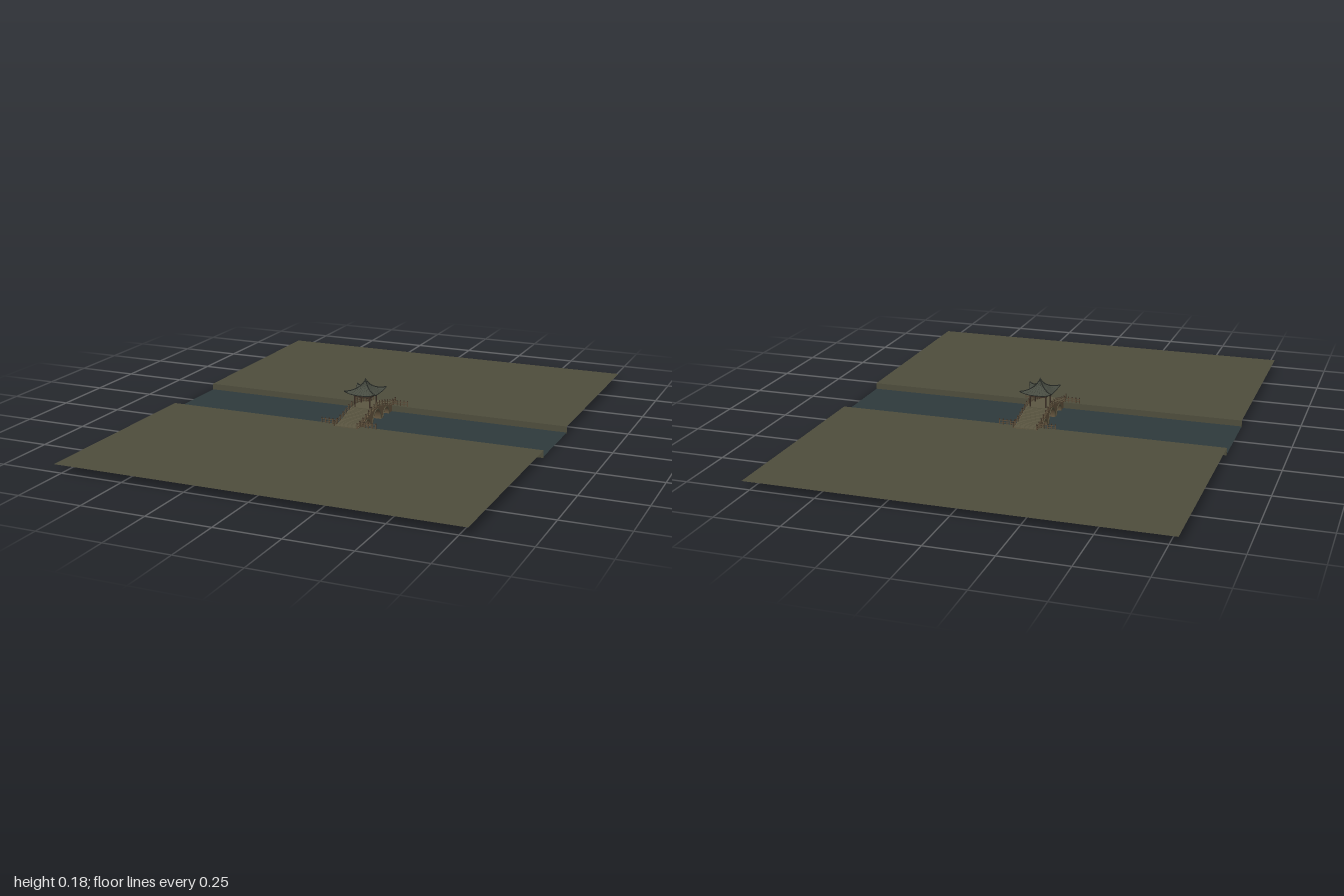
import * as THREE from 'three';

const mat = (name, color) => {
  const m = new THREE.MeshStandardMaterial({ color, side: THREE.DoubleSide });
  m.name = name;
  return m;
};

export function createModel() {
  const root = new THREE.Group();
  const earth = mat('earth', 0x4e4d3c);
  const water = mat('water', 0x2e3a3c);
  const stone = mat('bridgeStone', 0x6b5b43);
  const paving = mat('paving', 0x5c5742);
  const footing = mat('footing', 0x4a463a);
  const rail = mat('railing', 0x584a37);
  const wood = mat('darkWood', 0x3c3026);
  const tile = mat('roofTile', 0x474b41);
  const ridge = mat('roofRidge', 0x272a26);

  const add = (name, geo, m, x = 0, y = 0, z = 0, parent = root) => {
    const mesh = new THREE.Mesh(geo, m);
    mesh.name = name;
    mesh.position.set(x, y, z);
    parent.add(mesh);
    return mesh;
  };
  const box = (name, w, h, d, m, x, y, z, parent) =>
    add(name, new THREE.BoxGeometry(w, h, d), m, x, y, z, parent);
  // Straight bar between two points
  const bar = (name, a, b, r, m, parent) => {
    const dir = b.clone().sub(a);
    const mesh = add(name, new THREE.CylinderGeometry(r, r, dir.length(), 6), m, 0, 0, 0, parent);
    mesh.position.copy(a).add(b).multiplyScalar(0.5);
    mesh.quaternion.setFromUnitVectors(new THREE.Vector3(0, 1, 0), dir.normalize());
  };
  const V = (x, y, z) => new THREE.Vector3(x, y, z);

  // River, banks and bank walls
  add('river', new THREE.PlaneGeometry(1.56, 0.32).rotateX(-Math.PI / 2), water, 0, 0.005, 0);
  for (const s of [-1, 1]) {
    add('bank', new THREE.PlaneGeometry(1.56, 0.84).rotateX(-Math.PI / 2), earth, 0, 0.03, s * 0.58);
    box('bankWall', 1.56, 0.029, 0.003, earth, 0, 0.0150, s * 0.1605);
    box('abutment', 0.23, 0.028, 0.055, footing, 0, 0.0145, s * 0.188);
  }
  box('bridgeFooting', 0.23, 0.003, 0.42, footing, 0, 0.0015, 0);

  // Bridge body: humped deck over three arches
  const L = 0.195;
  const deckY = z => 0.032 + 0.033 * (0.5 + 0.5 * Math.cos(Math.PI * Math.min(1, Math.abs(z) / L)));
  const arches = [[-0.095, 0.03, 0.038], [0, 0.042, 0.053], [0.095, 0.03, 0.038]];
  const side = new THREE.Shape();
  side.moveTo(-L, 0.001);
  for (const [c, rx, ry] of arches) {
    side.lineTo(c - rx, 0.001);
    side.absellipse(c, 0.001, rx, ry, Math.PI, 0, true);
  }
  side.lineTo(L, 0.001);
  for (let i = 0; i <= 24; i++) {
    const z = L - (2 * L * i) / 24;
    side.lineTo(z, deckY(z));
  }
  const extrudeX = (shape, width) => new THREE.ExtrudeGeometry(shape, { depth: width, bevelEnabled: false, curveSegments: 16 })
    .rotateY(-Math.PI / 2).translate(width / 2, 0, 0);
  add('bridgeBody', extrudeX(side, 0.096), stone);

  // Paved walkway in shallow steps
  const steps = 40;
  for (let i = 0; i < steps; i++) {
    const d = (2 * L) / steps, z = -L + (i + 0.5) * d;
    box('deckStep', 0.09, 0.006, d, paving, 0, deckY(z) - 0.001, z);
  }

  // Stone rings around the arches
  for (const [c, rx, ry] of arches) {
    const ring = new THREE.Shape();
    ring.absellipse(c, 0.001, rx + 0.004, ry + 0.004, 0, Math.PI, false);
    ring.lineTo(c - rx, 0.001);
    ring.absellipse(c, 0.001, rx, ry, Math.PI, 0, true);
    for (const s of [-1, 1]) add('archRing', extrudeX(ring, 0.003), paving, s * 0.049);
  }

  // Bridge balustrades
  const posts = 14;
  for (const s of [-1, 1]) {
    const balustrade = new THREE.Group();
    balustrade.name = 'balustrade';
    root.add(balustrade);
    const x = s * 0.048;
    for (let i = 0; i <= posts; i++) {
      const z = -L + (2 * L * i) / posts, y = deckY(z);
      box('post', 0.004, 0.02, 0.004, rail, x, y + 0.01, z, balustrade);
      add('postCap', new THREE.SphereGeometry(0.0028, 8, 6), wood, x, y + 0.021, z, balustrade);
      if (i === posts) continue;
      const z2 = z + (2 * L) / posts, y2 = deckY(z2);
      for (const h of [0.006, 0.015]) bar('handrail', V(x, y + h, z), V(x, y2 + h, z2), 0.0014, rail, balustrade);
    }
  }

  // Railings along the banks beside the bridge
  for (const sx of [-1, 1]) for (const sz of [-1, 1]) {
    const z = sz * 0.166;
    for (let i = 0; i < 5; i++) {
      const x = sx * (0.052 + i * 0.0155);
      box('bankPost', 0.004, 0.02, 0.004, rail, x, 0.04, z);
      add('bankPostCap', new THREE.SphereGeometry(0.0028, 8, 6), wood, x, 0.051, z);
    }
    for (const y of [0.037, 0.046]) box('bankRail', 0.062, 0.0025, 0.0025, rail, sx * 0.083, y, z);
  }

  // Pavilion frame
  const pavilion = new THREE.Group();
  pavilion.name = 'pavilion';
  root.add(pavilion);
  box('plinth', 0.082, 0.005, 0.082, paving, 0, 0.0645, 0, pavilion);
  const p = 0.032;
  for (const a of [-1, 1]) {
    for (const b of [-1, 1])
      add('column', new THREE.CylinderGeometry(0.0028, 0.0028, 0.062, 10), wood, a * p, 0.092, b * p, pavilion);
    box('frieze', 0.068, 0.013, 0.003, wood, 0, 0.114, a * p, pavilion);
    box('frieze', 0.003, 0.013, 0.068, wood, a * p, 0.114, 0, pavilion);
  }

  // Curved roof with upturned corners; u runs along the eave, t from apex to eave
  const roofPoint = (u, t, lift = 0) => {
    const flare = 1 + 0.2 * Math.pow(Math.abs(u), 4) * t * t;
    const w = (0.004 + 0.049 * t) * flare;
    const y = 0.166 - 0.045 * Math.pow(t, 0.7) + 0.014 * Math.pow(Math.abs(u), 4) * t * t * t;
    return V(u * w, y + lift, w);
  };
  for (let k = 0; k < 4; k++) {
    const quarter = new THREE.Group();
    quarter.name = 'roofSide';
    quarter.rotation.y = (k * Math.PI) / 2;
    pavilion.add(quarter);
    const geo = new THREE.PlaneGeometry(2, 1, 16, 10);
    const pos = geo.attributes.position;
    for (let i = 0; i < pos.count; i++) {
      const q = roofPoint(pos.getX(i), 0.5 - pos.getY(i));
      pos.setXYZ(i, q.x, q.y, q.z);
    }
    // Slope runs down towards +z, so the plane's own winding faces outward
    geo.computeVertexNormals();
    add('roofSlope', geo, tile, 0, 0, 0, quarter);
    const tube = (name, pts, r) =>
      add(name, new THREE.TubeGeometry(new THREE.CatmullRomCurve3(pts), 14, r, 6), ridge, 0, 0, 0, quarter);
    const ts = [0, 0.2, 0.4, 0.6, 0.8, 1];
    tube('hipRidge', ts.map(t => roofPoint(1, t, 0.001)), 0.0022);
    tube('eaveEdge', [-1, -0.8, -0.5, 0, 0.5, 0.8, 1].map(u => roofPoint(u, 1, -0.001)), 0.0016);
    for (let i = -3; i <= 3; i++) {
      const u = i / 4;
      const geoRib = new THREE.TubeGeometry(new THREE.CatmullRomCurve3(ts.map(t => roofPoint(u, t))), 10, 0.0009, 5);
      add('tileRib', geoRib, tile, 0, 0, 0, quarter);
    }
  }
  add('ceiling', new THREE.PlaneGeometry(0.09, 0.09).rotateX(Math.PI / 2), wood, 0, 0.121, 0, pavilion);

  // Finial
  const finial = [[0, 0], [0.006, 0], [0.006, 0.003], [0.003, 0.005], [0.0045, 0.009], [0.002, 0.013], [0, 0.018]];
  add('finial', new THREE.LatheGeometry(finial.map(([r, y]) => new THREE.Vector2(r, y)), 12), ridge, 0, 0.163, 0, pavilion);

  return root;
}
